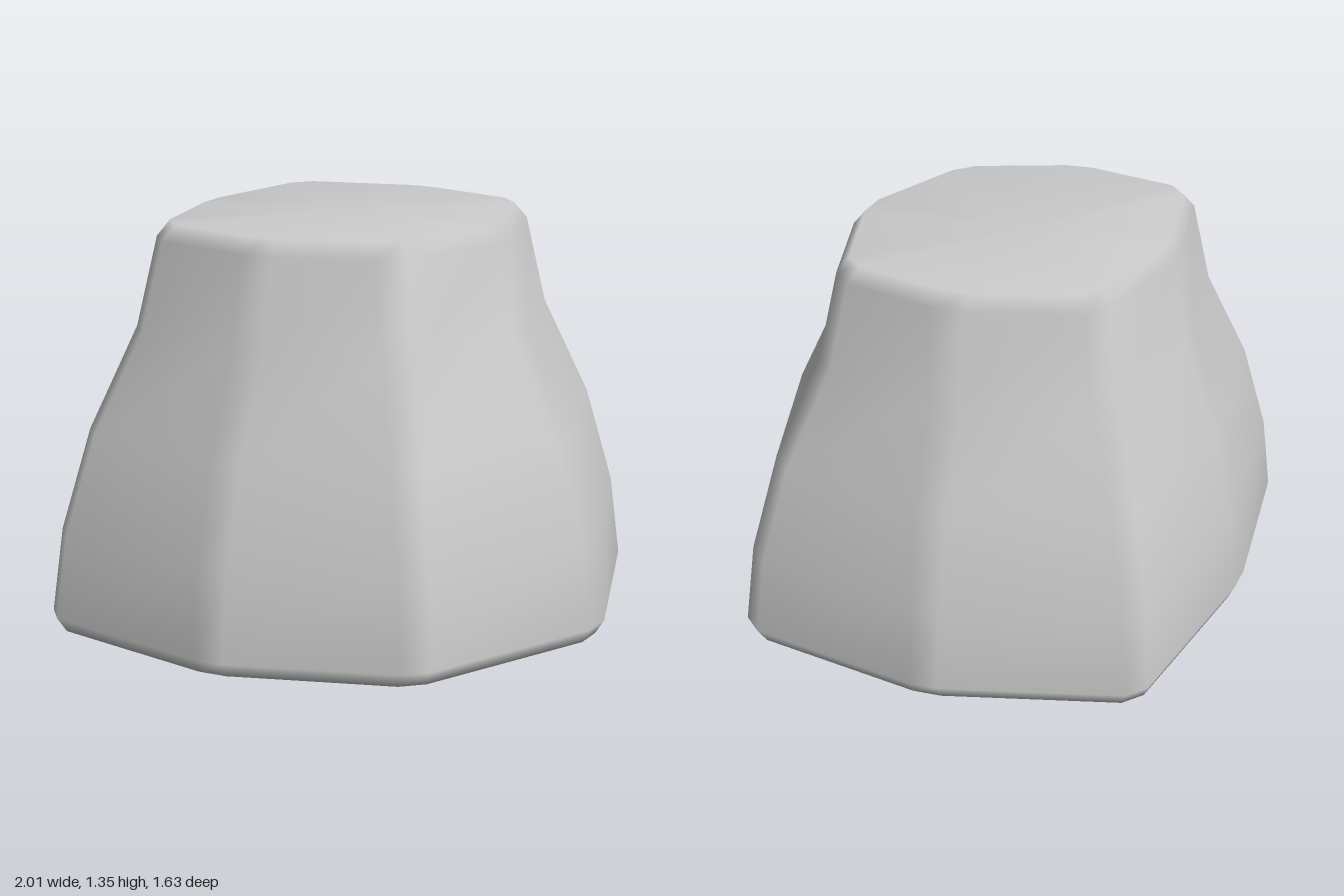
import * as THREE from 'three';

// Sharp eight-sided outlines [x, z], from the front round by the left (+x) side
const BASE = [[-0.01, 0.825], [0.69, 0.655], [1.03, 0.04], [0.61, -0.5], [-0.01, -0.84], [-0.61, -0.46], [-1.035, 0.04], [-0.61, 0.55]];
const CROWN = [[0, 0.54], [0.42, 0.41], [0.64, 0.04], [0.4, -0.29], [-0.01, -0.505], [-0.41, -0.28], [-0.645, 0.04], [-0.39, 0.365]];

// Levels: height, blend from base to crown, scale
const LEVELS = [
  [0, 0, 0.97], [0.05, 0, 1], [0.335, 0.11, 1], [0.67, 0.38, 1],
  [1.005, 0.81, 1], [1.295, 1, 1], [1.345, 1, 0.93],
];

// Cut every corner of an outline by a small bevel
function bevelled(points, cut) {
  const out = [];
  points.forEach((p, i) => {
    const n = points.length;
    for (const q of [points[(i + n - 1) % n], points[(i + 1) % n]]) {
      const dir = q.clone().sub(p).normalize();
      out.push(p.clone().addScaledVector(dir, cut));
    }
  });
  return out;
}

function loft() {
  const pos = [], idx = [];
  for (const [y, t, s] of LEVELS) {
    const outline = BASE.map(([x, z], i) =>
      new THREE.Vector2(x, z).lerp(new THREE.Vector2(...CROWN[i]), t));
    for (const p of bevelled(outline, 0.05)) pos.push(p.x * s, y, p.y * s);
  }
  const n = BASE.length * 2, last = (LEVELS.length - 1) * n;
  const bottom = pos.length / 3, top = bottom + 1;
  pos.push(0, 0, 0, 0, LEVELS[LEVELS.length - 1][0], 0);

  for (let i = 0; i < n; i++) {
    const j = (i + 1) % n;
    // Walls
    for (let r = 0; r < last; r += n) {
      idx.push(r + i, r + j, r + n + j, r + i, r + n + j, r + n + i);
    }
    // Flat caps
    idx.push(bottom, j, i, top, last + i, last + j);
  }
  const g = new THREE.BufferGeometry();
  g.setAttribute('position', new THREE.Float32BufferAttribute(pos, 3));
  g.setIndex(idx);
  g.computeVertexNormals(); // soft, area-weighted edges
  return g;
}

export function createModel() {
  const group = new THREE.Group();
  group.name = 'rock';
  const stone = new THREE.Mesh(loft(), new THREE.MeshStandardMaterial({ color: 0xcccccc }));
  stone.name = 'stoneBody';
  group.add(stone);
  return group;
}
